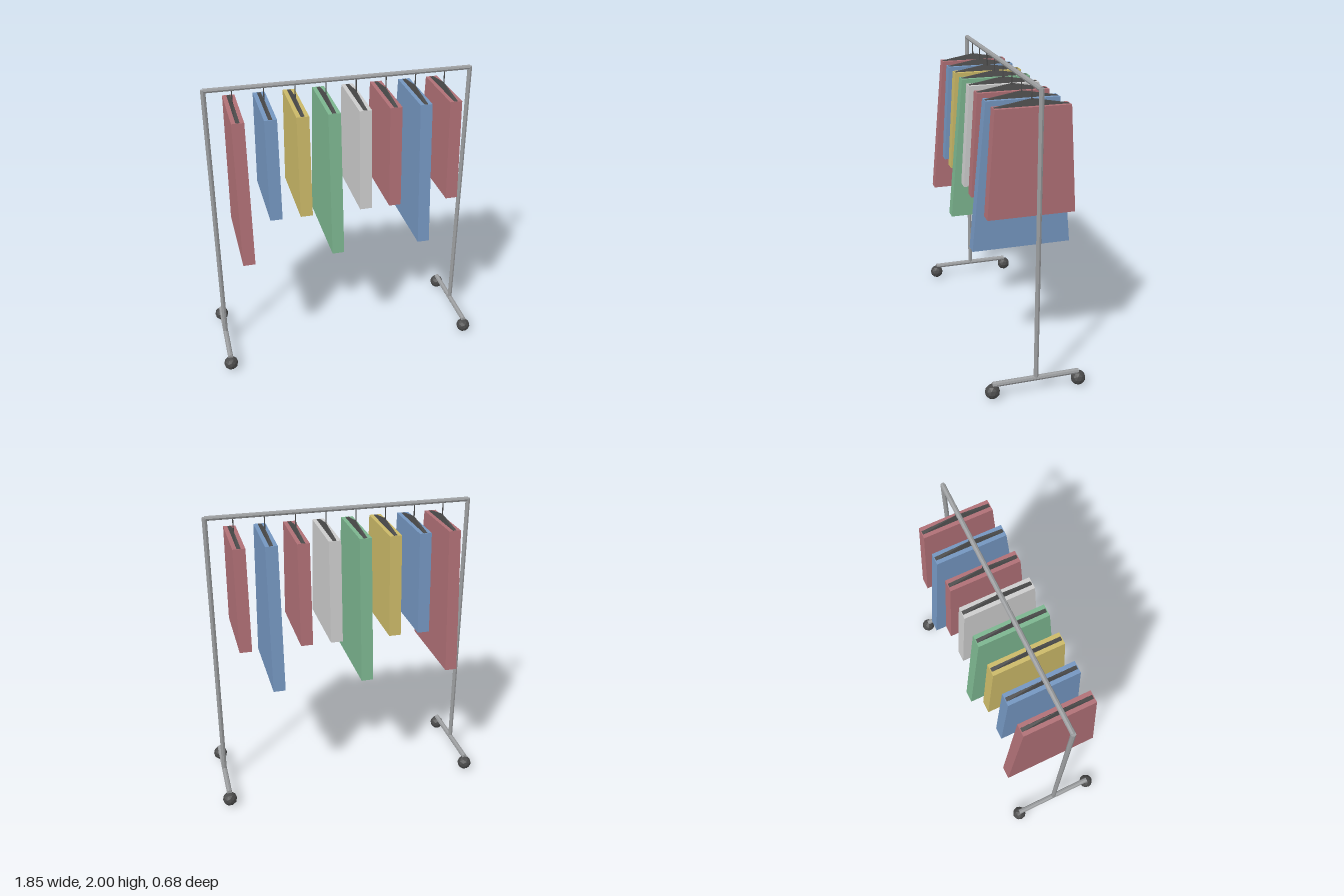
import * as THREE from 'three';

const paint = (name, color) => {
  const m = new THREE.MeshStandardMaterial({ color });
  m.name = name;
  m.flatShading = true;
  return m;
};

export function createModel() {
  const steel = paint('steel', 0x9c9ea0);
  const dark = paint('dark plastic', 0x4a4a4a);
  const red = paint('red cloth', 0xb07076);
  const blue = paint('blue cloth', 0x7496c0);
  const gold = paint('gold cloth', 0xcbb968);
  const green = paint('green cloth', 0x7cb58f);
  const grey = paint('grey cloth', 0xcccccc);

  const model = new THREE.Group();
  model.name = 'clothesRack';
  const add = (parent, name, geometry, material, x = 0, y = 0, z = 0) => {
    const mesh = new THREE.Mesh(geometry, material);
    mesh.name = name;
    mesh.position.set(x, y, z);
    parent.add(mesh);
    return mesh;
  };

  // Tube frame: top rail, two posts, two feet with ball casters
  const tube = (length, r = 0.016) => new THREE.CylinderGeometry(r, r, length, 8);
  add(model, 'topRail', tube(1.75), steel, 0, 1.984).rotation.z = Math.PI / 2;
  for (const side of [-1, 1]) {
    const x = side * 0.875;
    add(model, 'post', tube(1.89), steel, x, 1.045);
    add(model, 'foot', tube(0.58, 0.018), steel, x, 0.1).rotation.x = Math.PI / 2;
    for (const end of [-1, 1]) {
      add(model, 'caster', new THREE.IcosahedronGeometry(0.049, 1), dark, x, 0.05, end * 0.29);
    }
  }

  // Flared cloth slab, 0.08 thick along x
  const garment = (bottom, hem) => {
    const shape = new THREE.Shape([
      new THREE.Vector2(-hem, bottom), new THREE.Vector2(hem, bottom),
      new THREE.Vector2(0.235, 1.85), new THREE.Vector2(-0.235, 1.85),
    ]);
    return new THREE.ExtrudeGeometry(shape, { depth: 0.08, bevelEnabled: false })
      .translate(0, 0, -0.04).rotateY(Math.PI / 2);
  };
  // Low rectangular pyramid for the hanger shoulders
  const shoulders = new THREE.ConeGeometry(Math.SQRT1_2, 1, 4)
    .rotateY(Math.PI / 4).scale(0.026, 0.045, 0.47);

  // Garments from the right to the left: colour and whether it is long
  const row = [[red, 1], [blue, 0], [gold, 0], [green, 1], [grey, 0], [red, 0], [blue, 1], [red, 0]];
  row.forEach(([cloth, long], i) => {
    const item = new THREE.Group();
    item.name = 'hangingGarment';
    item.position.x = -0.7 + i * 0.2;
    model.add(item);
    add(item, 'garment', long ? garment(0.88, 0.325) : garment(1.17, 0.28), cloth);
    add(item, 'hangerShoulders', shoulders, dark, 0, 1.8715);
    add(item, 'hangerHook', new THREE.CylinderGeometry(0.004, 0.004, 0.1, 6), dark, 0, 1.925);
  });
  return model;
}
